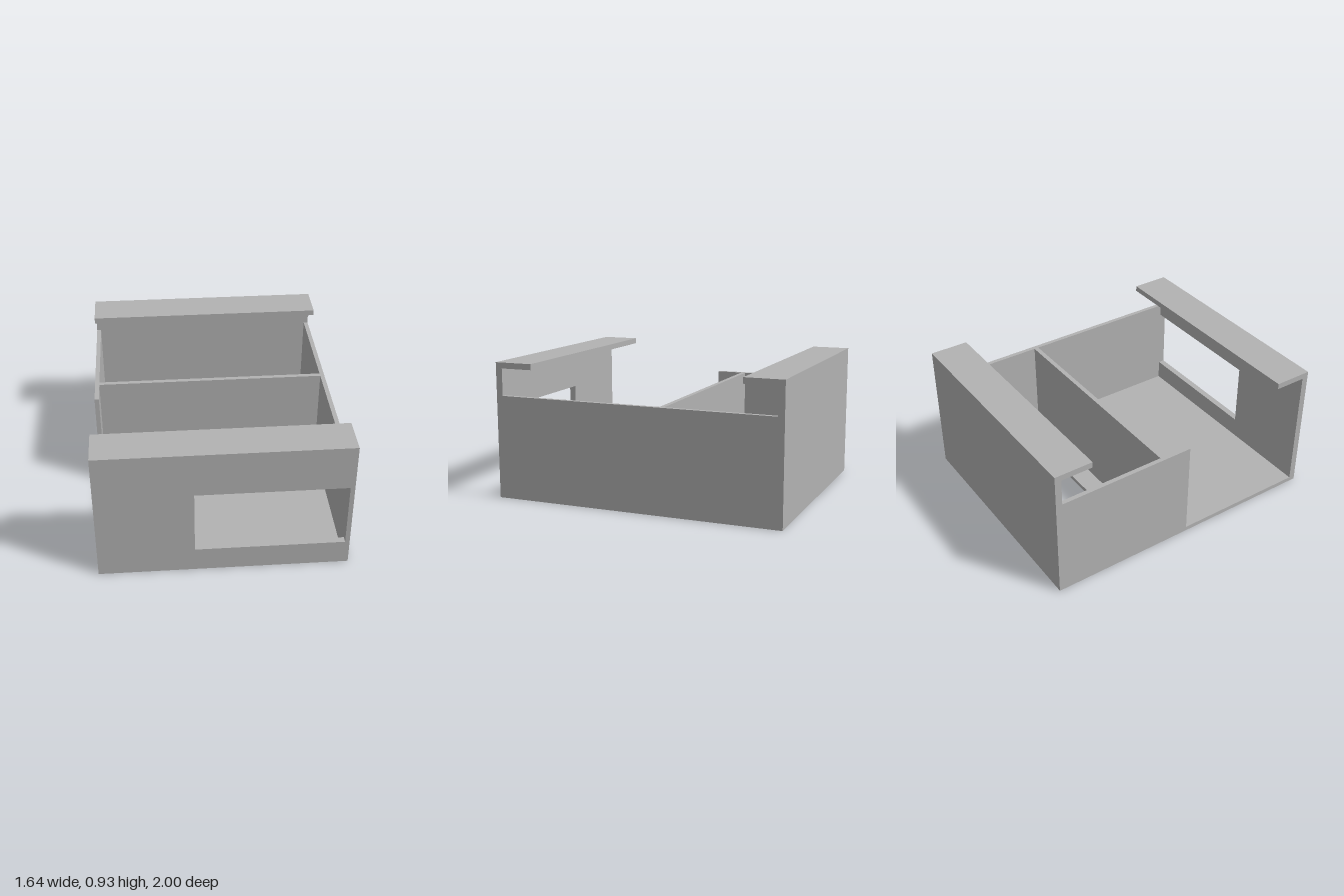
import * as THREE from 'three';

const W = 0.82, H = 0.93, D = 1;        // half width, height, half depth
const END = 0.045, SIDE = 0.03;         // end wall and side wall thickness
const FLOOR = 0.03, SIDE_TOP = 0.705;

export function createModel() {
  const group = new THREE.Group();
  const grey = new THREE.MeshStandardMaterial({ color: 0xb2b2b2 });
  grey.name = 'grey';

  // box given by its minimum and maximum on each axis
  const box = (name, x0, x1, y0, y1, z0, z1) => {
    const mesh = new THREE.Mesh(new THREE.BoxGeometry(x1 - x0, y1 - y0, z1 - z0), grey);
    mesh.position.set((x0 + x1) / 2, (y0 + y1) / 2, (z0 + z1) / 2);
    mesh.name = name;
    group.add(mesh);
  };

  // flat plate in x/y with one rectangular opening
  const rect = (Type, x0, x1, y0, y1) => new Type([
    new THREE.Vector2(x0, y0), new THREE.Vector2(x1, y0),
    new THREE.Vector2(x1, y1), new THREE.Vector2(x0, y1),
  ]);
  const plate = (name, outer, hole, depth) => {
    const shape = rect(THREE.Shape, ...outer);
    shape.holes.push(rect(THREE.Path, ...hole));
    const mesh = new THREE.Mesh(
      new THREE.ExtrudeGeometry(shape, { depth, bevelEnabled: false }), grey);
    mesh.name = name;
    group.add(mesh);
    return mesh;
  };

  // floor with a wide slot in the rear compartment
  const floor = plate('floor', [-W, W, -D + END, D - END], [-0.79, 0.79, 0.342, 0.805], FLOOR);
  floor.rotation.x = -Math.PI / 2;

  // front wall with window, plain back wall
  const front = plate('frontWall', [-W, W, 0, H], [-0.19, 0.79, 0.17, 0.62], END);
  front.position.z = D - END;
  box('backWall', -W, W, 0, H, -D, -D + END);

  // inward lips along the tops of both end walls
  box('frontLip', -W, W, H - 0.04, H, 0.735, D - END);
  box('backLip', -W, W, H - 0.04, H, -D + END, -0.735);

  // full left wall, and a right wall that stops halfway
  box('leftWall', W - SIDE, W, FLOOR, SIDE_TOP, -D + END, D - END);
  box('rightWall', -W, -W + SIDE, FLOOR, SIDE_TOP, -D + END, 0.01);

  // cross partition between the compartments
  box('divider', -W + SIDE, W - SIDE, FLOOR, SIDE_TOP, -0.207, -0.175);

  return group;
}
